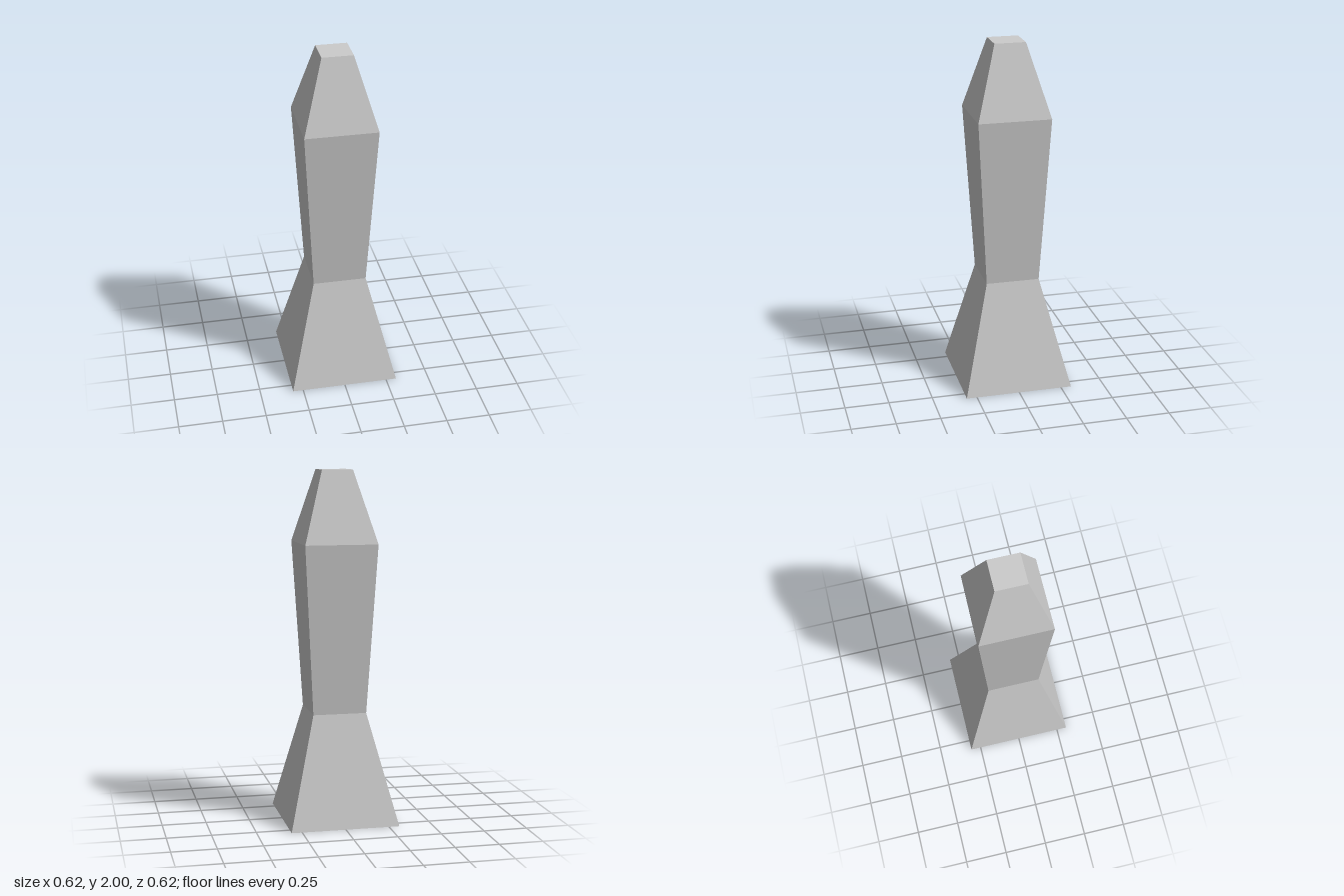
import * as THREE from 'three';

// Half-width of the square section at each height, from base to tip
const PROFILE = [
  [0, 0],
  [0.31, 0],
  [0.153, 0.63],
  [0.207, 1.59],
  [0.088, 2],
  [0, 2],
];

export function createModel() {
  const model = new THREE.Group();
  model.name = 'pillar';

  // Four-sided lathe: corners lie on the diagonals, so half-widths scale by sqrt(2)
  const points = PROFILE.map(([half, y]) => new THREE.Vector2(half * Math.SQRT2, y));
  const geometry = new THREE.LatheGeometry(points, 4, Math.PI / 4);
  const material = new THREE.MeshStandardMaterial({ color: 0xcccccc, flatShading: true });

  // Flared foot, widening shaft and tapered flat-topped cap in one closed surface
  const body = new THREE.Mesh(geometry, material);
  body.name = 'pillarBody';
  model.add(body);

  return model;
}
